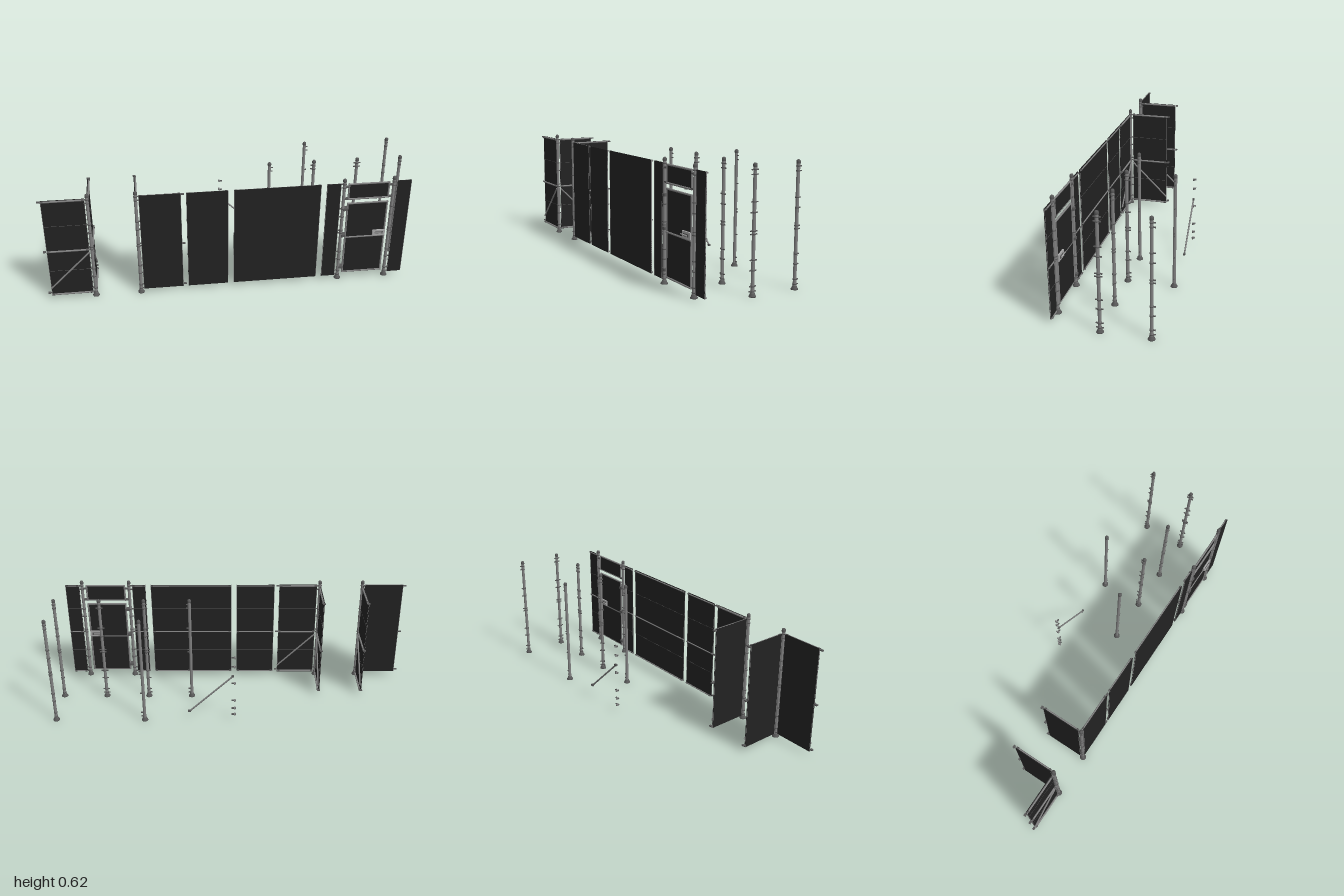
import * as THREE from 'three';

const mat = (name, color) => {
  const m = new THREE.MeshStandardMaterial({ color });
  m.name = name;
  return m;
};

export function createModel() {
  const root = new THREE.Group();
  root.name = 'modularFence';
  const steel = mat('steel grey', 0x808080);
  const darkSteel = mat('dark steel', 0x585858);
  const sheetMat = mat('black sheet', 0x222222);
  const plateMat = mat('light plate', 0xa8a8a8);

  const add = (parent, name, geo, m, x = 0, y = 0, z = 0) => {
    const mesh = new THREE.Mesh(geo, m);
    mesh.name = name;
    mesh.position.set(x, y, z);
    parent.add(mesh);
    return mesh;
  };
  const box = (p, name, m, w, h, d, x, y, z) => add(p, name, new THREE.BoxGeometry(w, h, d), m, x, y, z);

  // Round bar between two points
  const bar = (p, name, a, b, r, m = steel) => {
    const va = new THREE.Vector3(...a), vb = new THREE.Vector3(...b);
    const dir = vb.clone().sub(va);
    const mesh = add(p, name, new THREE.CylinderGeometry(r, r, dir.length(), 10), m);
    mesh.position.copy(va).add(vb).multiplyScalar(0.5);
    mesh.quaternion.setFromUnitVectors(new THREE.Vector3(0, 1, 0), dir.normalize());
  };

  // Posts: lathed tube with a flared foot, collars and coupling lugs
  const tubeGeo = new THREE.CylinderGeometry(0.0085, 0.0085, 0.595, 16).translate(0, 0.3075, 0);
  const lathe = pts => new THREE.LatheGeometry(pts.map(p => new THREE.Vector2(...p)), 16);
  const footGeo = lathe([[0, 0], [0.018, 0], [0.018, 0.004], [0.0145, 0.008], [0.011, 0.018], [0.0085, 0.019]]);
  const capGeo = lathe([[0.0085, 0.604], [0.0102, 0.605], [0.0102, 0.615], [0.008, 0.62], [0.004, 0.623], [0, 0.624]]);
  const collarGeo = new THREE.CylinderGeometry(0.0105, 0.0105, 0.005, 16);
  const lugGeo = new THREE.BoxGeometry(0.0125, 0.005, 0.006).translate(0.0125, 0, 0);
  const levels = [0.026, 0.05, 0.174, 0.295, 0.31, 0.445, 0.57, 0.592];
  const extraLevels = [0.125, 0.396];

  function post(x, z, angles, plain = false) {
    const g = new THREE.Group();
    g.name = 'post';
    g.position.set(x, 0, z);
    add(g, 'postTube', tubeGeo, steel);
    add(g, 'postFoot', footGeo, darkSteel);
    add(g, 'postCap', capGeo, darkSteel);
    for (const y of plain ? levels : [...levels, ...extraLevels]) {
      if (!plain) add(g, 'collar', collarGeo, darkSteel, 0, y, 0);
      for (const a of angles) add(g, 'lug', lugGeo, darkSteel, 0, y, 0).rotation.y = a;
    }
    root.add(g);
  }
  const [E, N, W, S] = [0, Math.PI / 2, Math.PI, -Math.PI / 2];
  post(-0.745, 0.247, [W, N]);
  post(-0.5, 0.247, [E, N]);
  post(0.6, 0.247, [W]);
  post(0.87, 0.247, [E]);
  post(0.24, 0, [E], true);
  post(0.49, 0, [N, W]);
  post(0.735, 0, [E, W]);
  post(0.982, 0, [N, S]);
  post(0.49, -0.247, [E], true);
  post(0.982, -0.247, [N]);

  // Sheet panel along local +x with its rails on the local +z side
  function panel(x, z, turn, w, r, brace) {
    const g = new THREE.Group();
    g.name = 'fencePanel';
    g.position.set(x, 0, z);
    g.rotation.y = turn;
    box(g, 'sheet', sheetMat, w, 0.575, 0.004, w / 2, 0.3085, -0.002);
    for (const s of [0.001, w - 0.001]) box(g, 'sheetEdge', steel, 0.002, 0.575, 0.005, s, 0.3085, -0.002);
    for (const y of [0.173, 0.445]) box(g, 'seam', darkSteel, w, 0.0015, 0.001, w / 2, y, 0.0003);
    for (const y of [0.026, 0.295, 0.591]) {
      bar(g, 'rail', [0, y, 0.004], [w, y, 0.004], r);
      for (const e of [0.01, w - 0.01]) bar(g, 'railSleeve', [e - 0.006, y, 0.004], [e + 0.006, y, 0.004], r + 0.0012, darkSteel);
    }
    if (brace) {
      const [hi, lo] = brace > 0 ? [w, 0] : [0, w];
      bar(g, 'diagonalBrace', [hi, 0.28, 0.005], [lo, 0.065, 0.005], 0.0045);
    }
    root.add(g);
  }
  // Corner panels
  panel(-0.98, 0.247, 0, 0.222, 0.005, 1);
  panel(-0.745, 0.232, N, 0.216, 0.005, -1);
  panel(-0.5, 0.232, N, 0.216, 0.005, -1);
  panel(-0.267, 0.247, W, 0.218, 0.005, 1);
  // Straight wall panels: [left edge, right edge]
  for (const [a, b] of [[-0.24, -0.02], [0.01, 0.475], [0.505, 0.582], [0.886, 0.966]]) {
    panel(b, 0.247, W, b - a, 0.0035, 0);
  }

  // Couplers at the free ends of the corner panels
  for (const [x, z] of [[-0.99, 0.247], [-0.745, 0.006], [-0.5, 0.006], [-0.258, 0.247]]) {
    for (const y of [0.036, 0.295, 0.591]) box(root, 'endCoupler', darkSteel, 0.016, 0.006, 0.012, x, y, z);
  }

  // Framed door leaf and the fixed pane above it
  function framedPane(name, y0, y1, rails) {
    const g = new THREE.Group();
    g.name = name;
    g.position.z = 0.247;
    box(g, 'paneSheet', sheetMat, 0.216, y1 - y0, 0.004, 0.735, (y0 + y1) / 2, 0);
    for (const x of [0.626, 0.844]) bar(g, 'paneStile', [x, y0 - 0.004, 0], [x, y1 + 0.004, 0], 0.005);
    for (const y of [y0, y1, ...rails]) bar(g, 'paneRail', [0.622, y, 0.002], [0.848, y, 0.002], 0.005);
    root.add(g);
    return g;
  }
  framedPane('transomPane', 0.502, 0.59, []);
  const door = framedPane('door', 0.04, 0.474, [0.264]);
  box(door, 'lockPlate', plateMat, 0.07, 0.034, 0.02, 0.812, 0.285, 0);
  box(door, 'lockInset', darkSteel, 0.045, 0.014, 0.023, 0.812, 0.285, 0);
  for (const s of [-1, 1]) bar(door, 'handle', [0.775, 0.285, s * 0.015], [0.825, 0.285, s * 0.015], 0.003, plateMat);
  for (const y of [0.075, 0.28, 0.443]) box(door, 'hinge', darkSteel, 0.024, 0.014, 0.03, 0.613, y, 0);
  for (const x of [0.613, 0.857]) {
    for (const y of [0.505, 0.575]) box(root, 'transomClamp', darkSteel, 0.024, 0.008, 0.014, x, y, 0.247);
  }

  // Loose brace and a stack of loose couplers at the back
  bar(root, 'looseBrace', [0.235, 0.065, -0.25], [0.005, 0.28, -0.25], 0.0045);
  box(root, 'braceEnd', darkSteel, 0.016, 0.01, 0.01, 0.24, 0.062, -0.25);
  box(root, 'braceEnd', darkSteel, 0.016, 0.01, 0.01, 0.002, 0.284, -0.25);
  for (const y of [0.4, 0.345, 0.24, 0.13, 0.08, 0.04]) {
    box(root, 'looseCoupler', darkSteel, 0.024, 0.006, 0.007, -0.004, y, -0.25);
    box(root, 'looseCouplerJaw', steel, 0.008, 0.008, 0.018, -0.01, y, -0.252);
  }
  return root;
}
